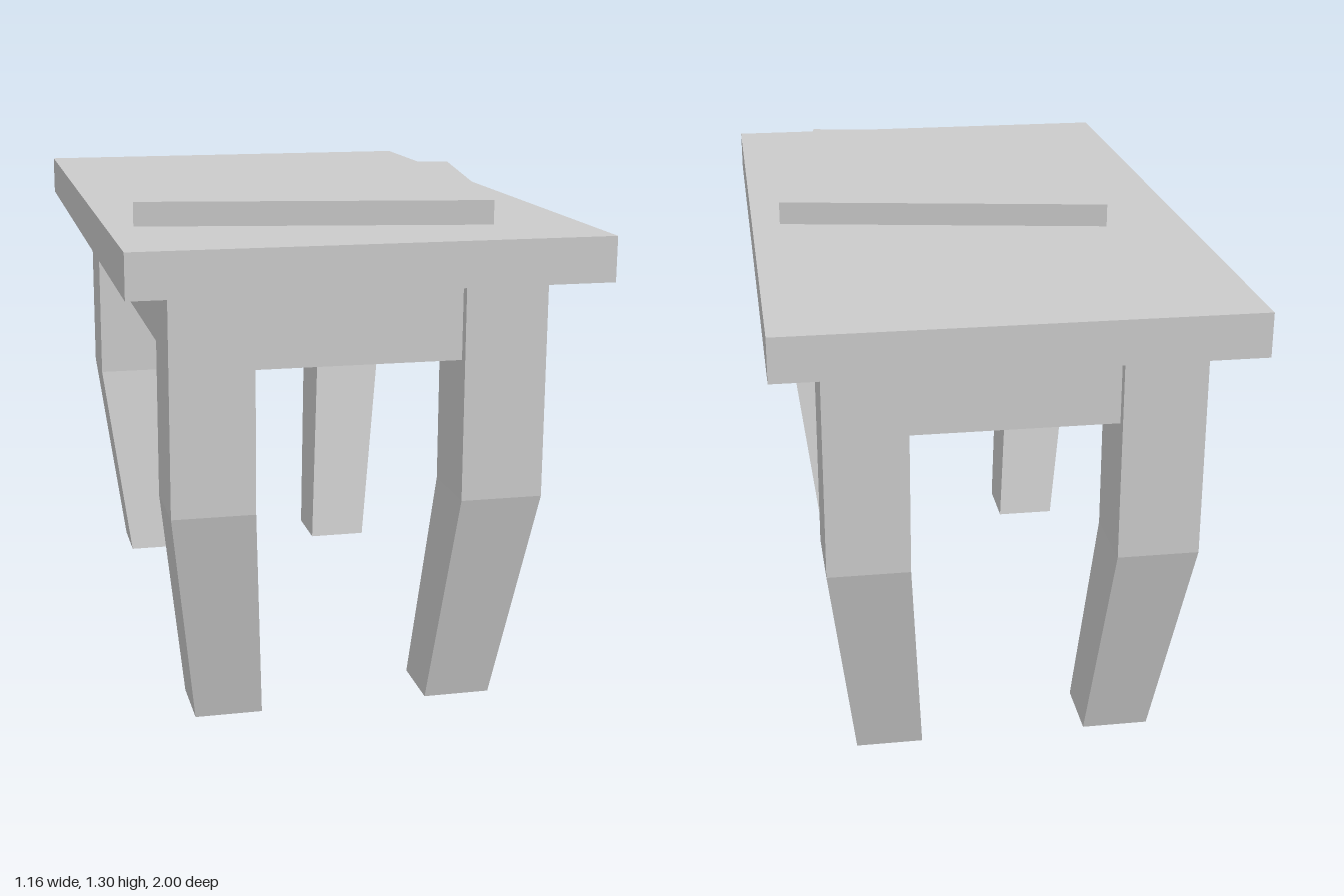
import * as THREE from 'three';

const material = new THREE.MeshStandardMaterial({ color: 0xcccccc, flatShading: true });

// Box mesh given its size and centre
function box(name, [w, h, d], [x, y, z]) {
  const mesh = new THREE.Mesh(new THREE.BoxGeometry(w, h, d), material);
  mesh.name = name;
  mesh.position.set(x, y, z);
  return mesh;
}

const LEG_TOP = 1.13, KNEE = 0.577, CENTRE = -0.006;
const LEG_X = 0.36, LEG_Z = 0.782, LEG_W = 0.206;
const FOOT_X = 0.303, FOOT_Z = 0.657, FOOT_W = 0.172;

// Straight upper leg that bends inward and tapers below the knee
function leg(name, sx, sz) {
  const geometry = new THREE.BoxGeometry(1, 2, 1, 1, 2, 1);
  const p = geometry.attributes.position;
  for (let i = 0; i < p.count; i++) {
    const level = p.getY(i);
    const foot = level < -0.5;
    const width = foot ? FOOT_W : LEG_W;
    p.setXYZ(
      i,
      CENTRE + sx * (foot ? FOOT_X : LEG_X) + p.getX(i) * width,
      foot ? 0 : level > 0.5 ? LEG_TOP : KNEE,
      sz * (foot ? FOOT_Z : LEG_Z) + p.getZ(i) * width
    );
  }
  geometry.computeVertexNormals();
  const mesh = new THREE.Mesh(geometry, material);
  mesh.name = name;
  return mesh;
}

export function createModel() {
  const table = new THREE.Group();
  table.name = 'table';

  // Table top
  table.add(box('tableTop', [1.158, 0.11, 2], [0, 1.185, 0]));

  // Square board lying askew on the top
  const board = box('board', [0.878, 0.06, 0.878], [-0.003, 1.27, 0.258]);
  board.rotation.y = -0.172;
  table.add(board);

  // Legs
  for (const sx of [-1, 1])
    for (const sz of [-1, 1])
      table.add(leg((sz > 0 ? 'front' : 'back') + (sx > 0 ? 'Left' : 'Right') + 'Leg', sx, sz));

  // Apron rails between the legs, slightly inset from their outer faces
  const railH = 0.203, railT = 0.1, railY = LEG_TOP - railH / 2;
  const inset = LEG_W / 2 - 0.025 - railT / 2;
  for (const s of [-1, 1]) {
    table.add(box(s > 0 ? 'frontRail' : 'backRail',
      [2 * LEG_X - LEG_W, railH, railT], [CENTRE, railY, s * (LEG_Z + inset)]));
    table.add(box(s > 0 ? 'leftRail' : 'rightRail',
      [railT, railH, 2 * LEG_Z - LEG_W], [CENTRE + s * (LEG_X + inset), railY, 0]));
  }

  return table;
}
